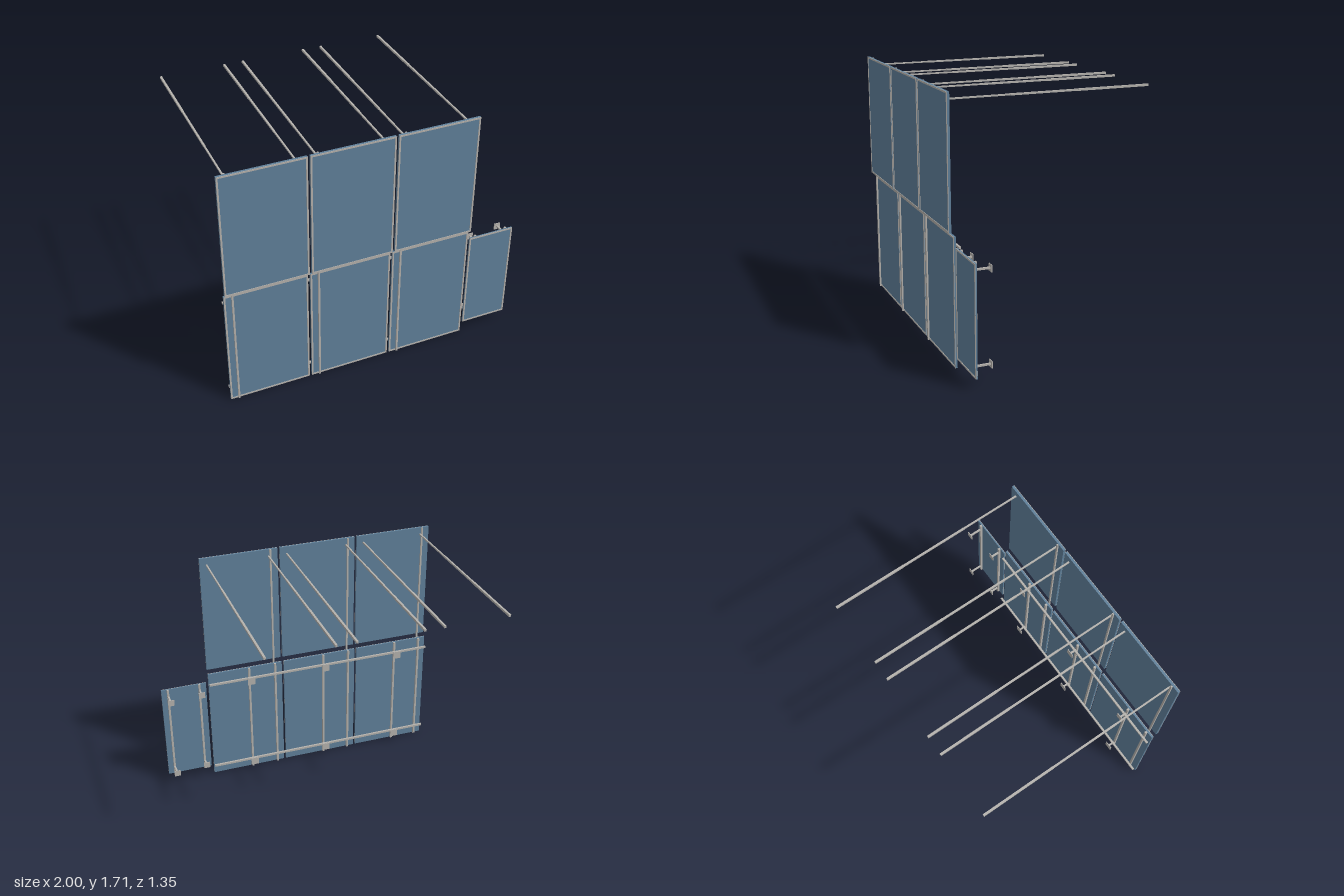
import * as THREE from 'three';

export function createModel() {
  const model = new THREE.Group();
  const blue = new THREE.MeshStandardMaterial({ name: 'panelBlue', color: 0x5f7f99 });
  const grey = new THREE.MeshStandardMaterial({ name: 'metalGrey', color: 0xb4b1ac });

  // Box given by its lower and upper corners
  function box(name, material, x0, x1, y0, y1, z0, z1, parent = model) {
    const mesh = new THREE.Mesh(new THREE.BoxGeometry(x1 - x0, y1 - y0, z1 - z0), material);
    mesh.position.set((x0 + x1) / 2, (y0 + y1) / 2, (z0 + z1) / 2);
    mesh.name = name;
    parent.add(mesh);
    return mesh;
  }

  // Slab with a thin border frame on its front face
  function panel(name, x0, x1, y0, y1, z0, z1) {
    const group = new THREE.Group();
    group.name = name;
    const w = 0.011;
    box('sheet', blue, x0, x1, y0, y1, z0, z1, group);
    const f0 = z1, f1 = z1 + 0.003;
    box('frameLeft', grey, x1 - w, x1, y0, y1, f0, f1, group);
    box('frameRight', grey, x0, x0 + w, y0, y1, f0, f1, group);
    box('frameTop', grey, x0 + w, x1 - w, y1 - w, y1, f0, f1, group);
    box('frameBottom', grey, x0 + w, x1 - w, y0, y0 + w, f0, f1, group);
    model.add(group);
  }

  // Stem with a square plate at its rear end
  function bracket(x, y, zPlate, size) {
    const group = new THREE.Group();
    group.name = 'bracket';
    const s = 0.006;
    box('stem', grey, x - s, x + s, y - s, y + s, zPlate, 0.628, group);
    box('plate', grey, x - size / 2, x + size / 2, y - size / 2, y + size / 2, zPlate - 0.005, zPlate, group);
    model.add(group);
  }

  // Three bays, each with an upper and a lower panel
  for (const x of [-1, -0.441, 0.118]) {
    const x1 = x + 0.543;
    panel('lowerPanel', x, x1, 0.003, 0.845, 0.628, 0.641);
    panel('upperPanel', x, x1, 0.87, 1.715, 0.656, 0.671);

    // Upright running between the two panel layers
    const ux = x + 0.053;
    box('upright', grey, ux - 0.006, ux + 0.006, 0.003, 1.715, 0.645, 0.655);

    // Rear posts of the lower panel
    box('edgePost', grey, ux - 0.007, ux + 0.007, 0.003, 0.845, 0.613, 0.628);
    const cx = x + 0.246;
    box('middlePost', grey, cx - 0.007, cx + 0.007, 0.003, 0.845, 0.613, 0.628);
    for (const y of [0.08, 0.77]) bracket(cx, y, 0.565, 0.055);

    // Long horizontal rods reaching back, in three stepped lengths
    for (const rx of [x + 0.065, x + 0.495]) {
      box('rodFront', grey, rx - 0.005, rx + 0.005, 1.66, 1.67, 0.26, 0.656);
      box('rodMiddle', grey, rx - 0.006, rx + 0.006, 1.659, 1.671, -0.19, 0.26);
      box('rodRear', grey, rx - 0.007, rx + 0.007, 1.658, 1.672, -0.675, -0.19);
    }
  }

  // Rails tying the three lower bays together
  for (const y of [0.08, 0.772]) box('rail', grey, -1, 0.66, y - 0.007, y + 0.007, 0.596, 0.61);

  // Small side panel with its posts and brackets
  panel('sidePanel', 0.68, 1, 0.072, 0.783, 0.628, 0.637);
  for (const [x, z] of [[0.73, 0.557], [0.955, 0.529]]) {
    box('sidePost', grey, x - 0.007, x + 0.007, 0.072, 0.783, 0.613, 0.628);
    for (const y of [0.135, 0.732]) bracket(x, y, z, 0.045);
  }

  return model;
}
